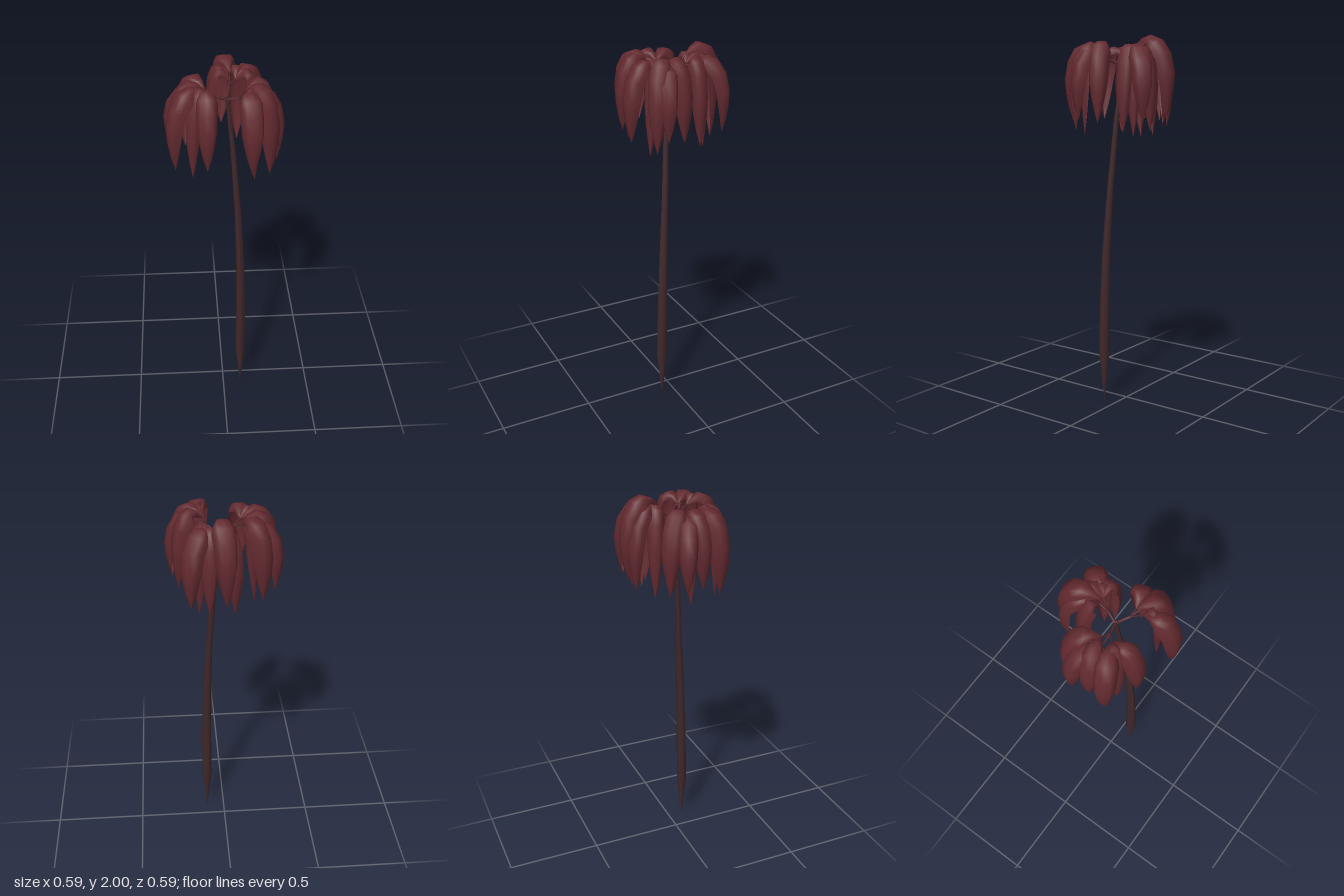
import * as THREE from 'three';

const V = (x, y, z) => new THREE.Vector3(x, y, z);
const barkMat = new THREE.MeshStandardMaterial({ color: 0x40282a });
const twigMat = new THREE.MeshStandardMaterial({ color: 0x58282d });
const leafMat = new THREE.MeshStandardMaterial({ color: 0x632a30, side: THREE.DoubleSide });

// Tapered stem through a list of [x, y, z, radius], one ring per entry
function stem(name, rings, sides, mat) {
  const n = rings.length;
  const pts = rings.map(r => V(r[0], r[1], r[2]));
  const geo = new THREE.CylinderGeometry(1, 1, 1, sides, n - 1, true);
  const pos = geo.attributes.position;
  for (let i = 0; i < pos.count; i++) {
    const k = Math.round((pos.getY(i) + 0.5) * (n - 1));
    const dir = pts[Math.min(k + 1, n - 1)].clone().sub(pts[Math.max(k - 1, 0)]).normalize();
    const turn = new THREE.Quaternion().setFromUnitVectors(V(0, 1, 0), dir);
    const p = V(pos.getX(i), 0, pos.getZ(i)).multiplyScalar(rings[k][3]);
    p.applyQuaternion(turn).add(pts[k]);
    pos.setXYZ(i, p.x, p.y, p.z);
  }
  geo.computeVertexNormals();
  const mesh = new THREE.Mesh(geo, mat);
  mesh.name = name;
  return mesh;
}

// Midrib stations: outward fraction, height (of a 0.42 drop), half width
const RIB = [
  [0, 0, 0.004], [0.18, 0.034, 0.025], [0.42, 0.052, 0.046], [0.68, 0.03, 0.055],
  [0.9, -0.045, 0.054], [1, -0.16, 0.051], [0.985, -0.25, 0.041],
  [0.925, -0.34, 0.024], [0.83, -0.42, 0.001],
];
// Trough section: position across the leaf and fold depth, both in half widths
const SECTION = [[-1, 1.15], [-0.92, 0.55], [-0.62, 0.07], [0, 0], [0.62, 0.07], [0.92, 0.55], [1, 1.15]];

// Arching, folded leaf from a twig end, bending over and hanging to a pointed tip
function leaf(base, endX, endZ, tipY, width = 1) {
  const out = V(endX - base.x, 0, endZ - base.z);
  const reach = out.length();
  out.normalize();
  const side = out.clone().cross(V(0, 1, 0));
  const drop = (base.y - tipY) / 0.42;
  const mid = RIB.map(([u, h]) => new THREE.Vector2(u * reach, h < 0 ? h * drop : h));
  const verts = [], index = [], m = SECTION.length;
  RIB.forEach((r, i) => {
    const t = mid[Math.min(i + 1, RIB.length - 1)].clone().sub(mid[Math.max(i - 1, 0)]).normalize();
    const w = r[2] * width;
    SECTION.forEach(([s, depth], j) => {
      const p = base.clone()
        .addScaledVector(out, mid[i].x + t.y * depth * w)
        .addScaledVector(side, s * w);
      p.y += mid[i].y - t.x * depth * w;
      verts.push(p.x, p.y, p.z);
      if (i < RIB.length - 1 && j < m - 1) {
        const a = i * m + j;
        index.push(a, a + 1, a + m, a + 1, a + m + 1, a + m);
      }
    });
  });
  const geo = new THREE.BufferGeometry();
  geo.setAttribute('position', new THREE.Float32BufferAttribute(verts, 3));
  geo.setIndex(index);
  geo.computeVertexNormals();
  const mesh = new THREE.Mesh(geo, leafMat);
  mesh.name = 'leaf';
  return mesh;
}

// Each branch has a fork and twigs; each twig lists leaves as [endX, endZ, tipY, width]
const BRANCHES = [
  { name: 'rightBranch', fork: [-0.04, 1.87, 0.025], twigs: [
    { end: [-0.085, 1.9, 0.012], leaves: [[-0.208, -0.136, 1.53, 1], [-0.267, 0.052, 1.56, 0.9]] },
    { end: [-0.1, 1.865, 0.03], leaves: [[-0.283, -0.06, 1.55, 0.9], [-0.17, 0.01, 1.46, 0.75]] },
    { end: [-0.08, 1.9, 0.065], leaves: [
      [-0.273, 0.15, 1.53, 1], [-0.085, 0.242, 1.56, 0.95], [-0.17, 0.165, 1.49, 0.7]] },
  ] },
  { name: 'backBranch', fork: [0.035, 1.89, -0.045], twigs: [
    { end: [0.04, 1.947, -0.086], leaves: [[0.0, -0.295, 1.58, 1.02]] },
    { end: [0.037, 1.9, -0.09], leaves: [[-0.05, -0.262, 1.53, 0.85], [-0.068, -0.145, 1.48, 0.8]] },
    { end: [0.07, 1.9, -0.095], leaves: [
      [0.2, -0.255, 1.56, 1], [0.197, -0.105, 1.5, 0.8],
      [0.09, -0.235, 1.51, 0.85], [0.15, -0.15, 1.48, 0.7]] },
  ] },
  { name: 'frontBranch', fork: [0.08, 1.87, 0.05], twigs: [
    { end: [0.108, 1.917, 0.06], leaves: [[0.258, 0.008, 1.55, 0.95], [0.25, 0.186, 1.51, 1]] },
    { end: [0.12, 1.885, 0.068], leaves: [[0.29, 0.13, 1.57, 0.9]] },
    { end: [0.105, 1.907, 0.105], leaves: [[0.138, 0.294, 1.56, 1], [0.16, 0.18, 1.48, 0.7]] },
  ] },
];

export function createModel() {
  const model = new THREE.Group();
  model.name = 'plant';

  // Trunk: pointed foot, widest low down, leaning as it rises
  model.add(stem('trunk', [
    [0.102, 0, 0.08, 0.001], [0.099, 0.27, 0.081, 0.029], [0.099, 0.55, 0.077, 0.027],
    [0.094, 0.85, 0.068, 0.023], [0.079, 1.2, 0.05, 0.018], [0.053, 1.55, 0.03, 0.014],
    [0.033, 1.75, 0.013, 0.011], [0.022, 1.86, 0.008, 0.009],
  ], 7, barkMat));

  // Three branches, each forking into leafy twigs
  const crown = [0.022, 1.845, 0.008];
  for (const { name, fork, twigs } of BRANCHES) {
    const branch = new THREE.Group();
    branch.name = name;
    branch.add(stem('branchStem', [[...crown, 0.008], [...fork, 0.006]], 5, twigMat));
    for (const { end, leaves } of twigs) {
      branch.add(stem('twig', [[...fork, 0.005], [...end, 0.003]], 5, twigMat));
      for (const l of leaves) branch.add(leaf(V(...end), ...l));
    }
    model.add(branch);
  }
  return model;
}
